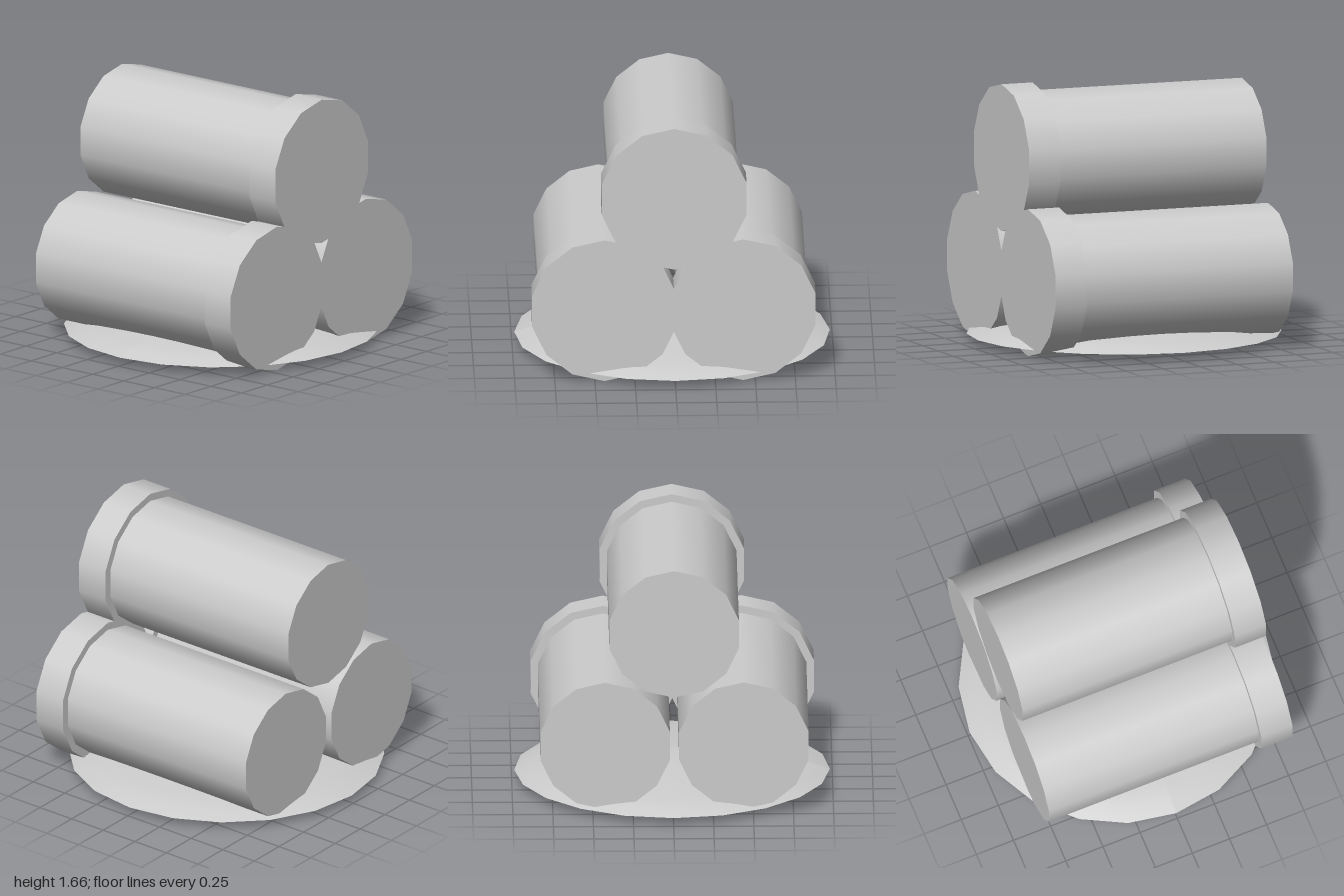
import * as THREE from 'three';

const grey = new THREE.MeshStandardMaterial({ color: 0xcccccc });
grey.name = 'grey';

// 14-sided cylinder lying along x, with a corner at the very top
function lyingCylinder(name, radius, x0, x1) {
  const geo = new THREE.CylinderGeometry(radius, radius, x1 - x0, 14);
  geo.rotateZ(-Math.PI / 2);
  // turn so that corners sit at top and bottom
  geo.rotateX(Math.PI / 2);
  const mesh = new THREE.Mesh(geo, grey);
  mesh.name = name;
  mesh.position.x = (x0 + x1) / 2;
  return mesh;
}

export function createModel() {
  const model = new THREE.Group();
  model.name = 'canisterStack';

  // Three stacked canisters, each with a wider lid on its +x end
  const places = [
    ['topCanister', 1.195, 0.005],
    ['frontCanister', 0.465, 0.44],
    ['backCanister', 0.465, -0.425],
  ];
  for (const [name, y, z] of places) {
    const canister = new THREE.Group();
    canister.name = name;
    canister.add(lyingCylinder('body', 0.414, -0.8, 0.615));
    canister.add(lyingCylinder('lid', 0.463, 0.61, 0.82));
    canister.position.set(0, y, z);
    model.add(canister);
  }

  // Shallow mound below, with a slightly uneven rim
  const profile = [[0.99, 0.053], [0.9, 0.085], [0.8, 0.11], [0.6, 0.135], [0.35, 0.165], [0.12, 0.183], [0, 0.185]]
    .map(([r, y]) => new THREE.Vector2(r, y));
  const dome = new THREE.LatheGeometry(profile, 20);
  const p = dome.attributes.position;
  for (let i = 0; i < p.count; i++) {
    const a = Math.atan2(p.getZ(i), p.getX(i));
    const s = 1 - 0.006 * (1 + Math.cos(3 * a));
    p.setX(i, p.getX(i) * s);
    p.setZ(i, p.getZ(i) * s);
  }
  dome.computeVertexNormals();
  const mound = new THREE.Mesh(dome, grey);
  mound.name = 'mound';
  model.add(mound);

  // Flat underside of the mound
  const under = new THREE.CircleGeometry(0.982, 20);
  under.rotateX(Math.PI / 2);
  const underside = new THREE.Mesh(under, grey);
  underside.name = 'moundUnderside';
  underside.position.y = 0.053;
  model.add(underside);

  return model;
}
